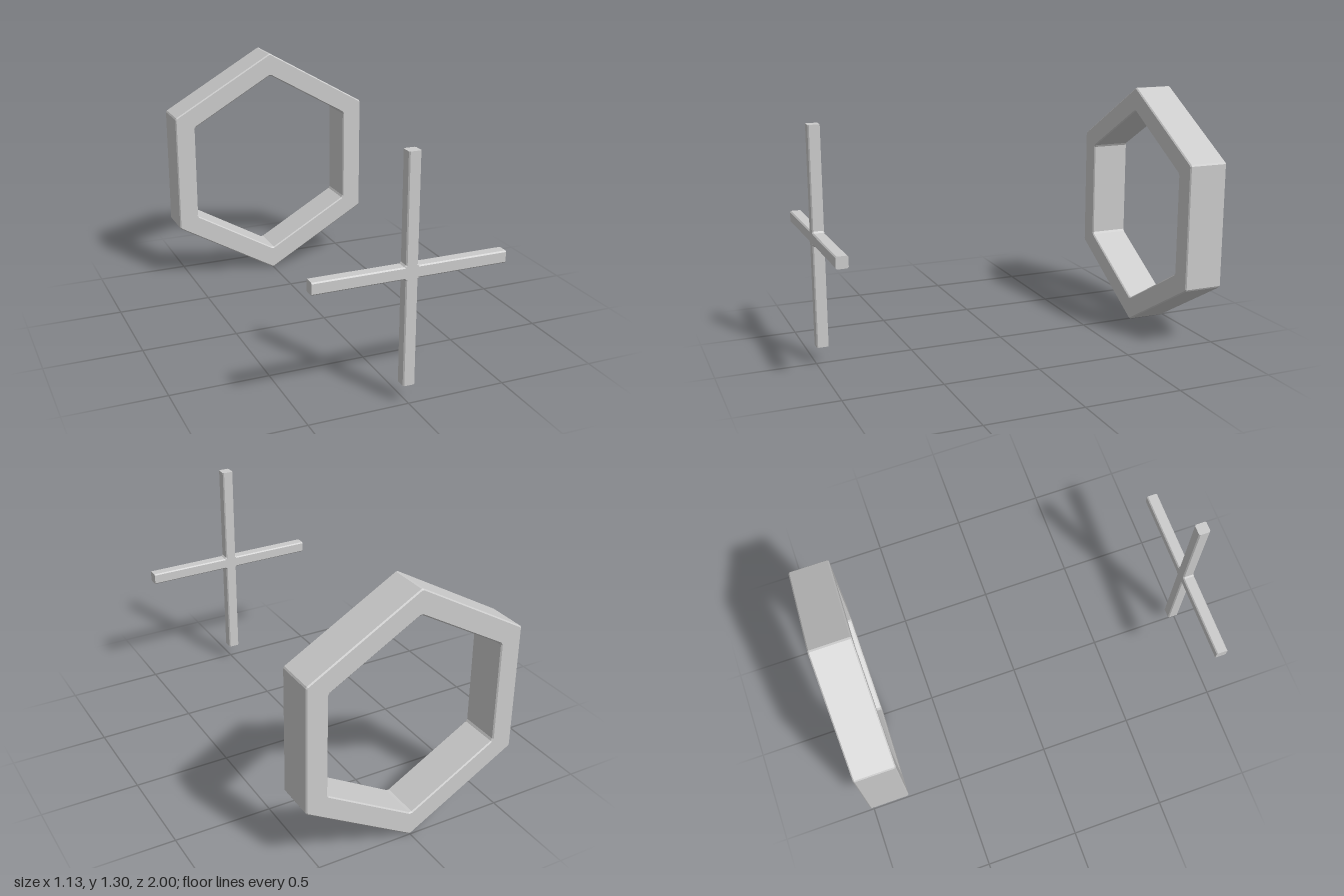
import * as THREE from 'three';

const BEVEL = 0.006;
const material = new THREE.MeshStandardMaterial({ color: 0xcccccc, flatShading: true });

// Pointy-top hexagon whose corners are cut short by a small amount
function hexPoints(radius, cut) {
  const corner = (i) => new THREE.Vector2(0, radius).rotateAround(new THREE.Vector2(), i * Math.PI / 3);
  const points = [];
  for (let i = 0; i < 6; i++) {
    const c = corner(i);
    points.push(c.clone().lerp(corner(i - 1), cut / radius), c.clone().lerp(corner(i + 1), cut / radius));
  }
  return points;
}

// Extrusion of exact outer size with chamfered rims, centred on its depth
function chamferedExtrude(shape, depth) {
  const geometry = new THREE.ExtrudeGeometry(shape, {
    depth: depth - 2 * BEVEL, bevelEnabled: true, bevelSegments: 1,
    bevelSize: BEVEL, bevelThickness: BEVEL, bevelOffset: -BEVEL,
  });
  return geometry.translate(0, 0, -(depth - 2 * BEVEL) / 2);
}

// Square bar with chamfered long edges and flat ends, lying along z
function barGeometry(width, length) {
  const h = width / 2, k = h - BEVEL;
  const section = new THREE.Shape([[h, -k], [h, k], [k, h], [-k, h], [-h, k], [-h, -k], [-k, -h], [k, -h]]
    .map(([x, y]) => new THREE.Vector2(x, y)));
  return new THREE.ExtrudeGeometry(section, { depth: length, bevelEnabled: false })
    .translate(0, 0, -length / 2);
}

function addMesh(parent, name, geometry) {
  const mesh = new THREE.Mesh(geometry, material);
  mesh.name = name;
  parent.add(mesh);
  return mesh;
}

export function createModel() {
  const model = new THREE.Group();
  model.name = 'hexagonFrameAndCross';

  // Hexagonal frame at the back
  const hexagon = new THREE.Shape(hexPoints(0.653, 0.006));
  hexagon.holes.push(new THREE.Path(hexPoints(0.527, 0.008).reverse()));
  addMesh(model, 'hexagonFrame', chamferedExtrude(hexagon, 0.21)).position.set(0, 0.65, -0.893);

  // Cross standing in front
  const cross = new THREE.Group();
  cross.name = 'cross';
  cross.position.set(0, 0.652, 0.97);
  model.add(cross);
  const width = 0.06;
  addMesh(cross, 'verticalBar', barGeometry(width, 1.118).rotateX(Math.PI / 2));
  addMesh(cross, 'horizontalBar', barGeometry(width, 0.96).rotateY(Math.PI / 2));

  // Hub that softens the inner corners of the cross
  const a = width / 2, b = a + 0.008;
  const hub = new THREE.Shape([[b, -a], [b, a], [a, b], [-a, b], [-b, a], [-b, -a], [-a, -b], [a, -b]]
    .map(([x, y]) => new THREE.Vector2(x, y)));
  addMesh(cross, 'hub', chamferedExtrude(hub, width));

  return model;
}
